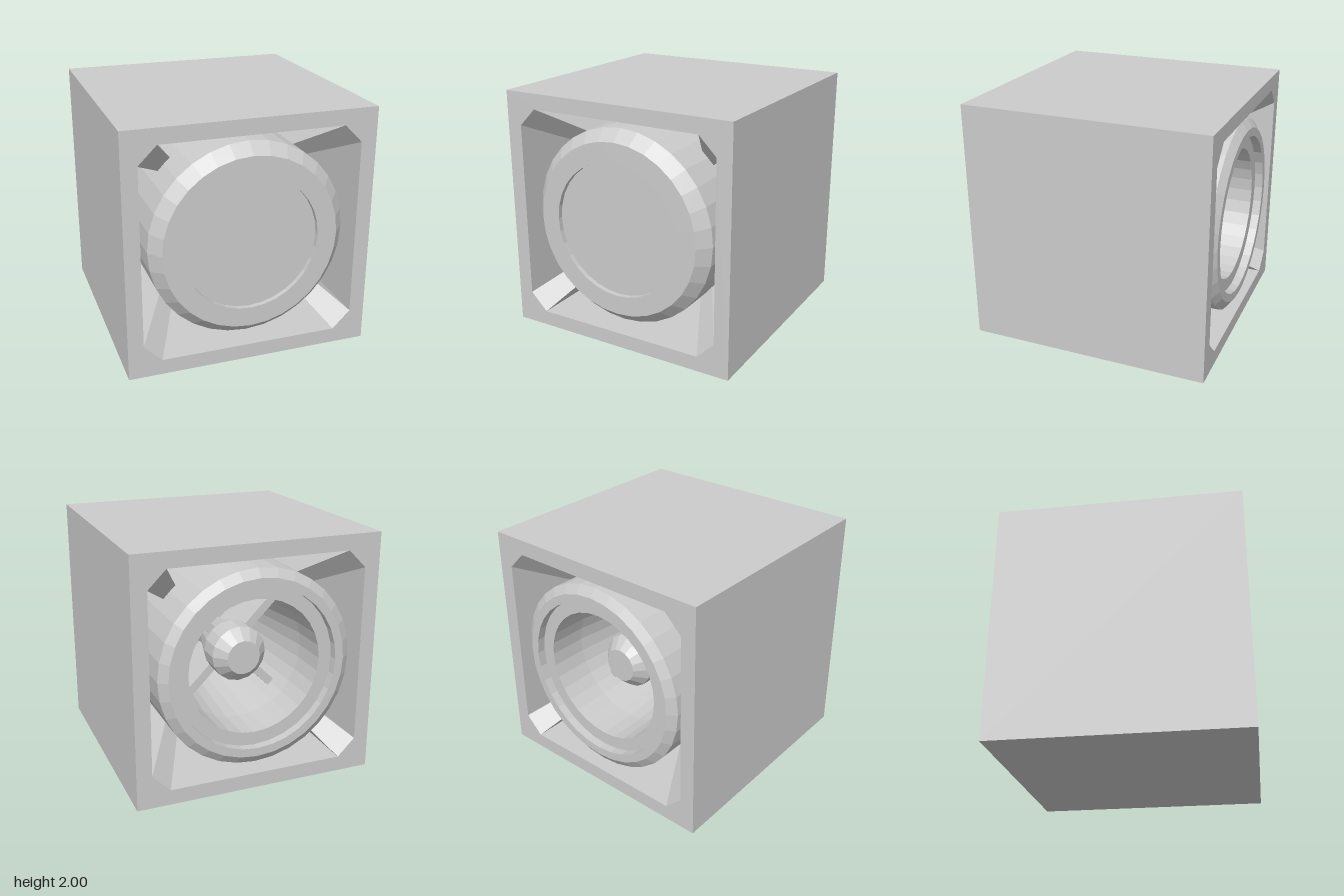
import * as THREE from 'three';

const material = new THREE.MeshStandardMaterial({ color: 0xcccccc, flatShading: true });

function addMesh(parent, name, geometry) {
  const mesh = new THREE.Mesh(geometry, material);
  mesh.name = name;
  parent.add(mesh);
  return mesh;
}

// Turned part with its axis along z; profile points are [radius, z]
function turned(profile, sides) {
  const points = profile.map(([r, z]) => new THREE.Vector2(r, z));
  return new THREE.LatheGeometry(points, sides).rotateX(Math.PI / 2);
}

// Cube shell, open front and back, with cut corners in the opening
function frameGeometry() {
  const shape = new THREE.Shape([[-1, -1], [1, -1], [1, 1], [-1, 1]].map(p => new THREE.Vector2(...p)));
  const a = 0.875, b = 0.73;
  const hole = [[a, -b], [b, -a], [-b, -a], [-a, -b], [-a, b], [-b, a], [b, a], [a, b]];
  shape.holes.push(new THREE.Path(hole.map(p => new THREE.Vector2(...p))));
  return new THREE.ExtrudeGeometry(shape, { depth: 2, bevelEnabled: false }).translate(0, 0, -1);
}

// Wedge running from the frame corner in to the drum, narrowing in width and depth
function bracketGeometry() {
  const inner = 0.7, outer = 1.135;
  const geometry = new THREE.BoxGeometry(1, 2, 2);
  const pos = geometry.attributes.position;
  for (let i = 0; i < pos.count; i++) {
    const atFrame = pos.getX(i) > 0;
    pos.setXYZ(i, atFrame ? outer : inner,
      pos.getY(i) * (atFrame ? 0.103 : 0.061),
      pos.getZ(i) * (atFrame ? 1 : 0.42));
  }
  geometry.computeVertexNormals();
  return geometry;
}

export function createModel() {
  const model = new THREE.Group();
  model.name = 'thrusterBlock';
  const body = new THREE.Group();
  body.name = 'body';
  body.position.y = 1;
  model.add(body);

  addMesh(body, 'frame', frameGeometry());

  // Drum: nozzle bore, stepped rear rim, outer wall, chamfered front cap
  addMesh(body, 'drum', turned([
    [0, 0.2], [0.47, 0.2], [0.55, -0.6], [0.55, -0.92], [0.66, -0.92], [0.66, -0.99],
    [0.73, -0.99], [0.8, -0.94], [0.8, 0.89], [0.71, 0.99], [0.55, 0.99], [0.55, 0.95], [0, 0.95],
  ], 32));

  // Hub inside the nozzle
  addMesh(body, 'hub', turned([
    [0, -0.7], [0.14, -0.7], [0.23, -0.6], [0.23, -0.42], [0.14, -0.1], [0.14, 0.2],
  ], 16));

  // Four corner brackets and four nozzle vanes on the diagonals
  const bracket = bracketGeometry();
  const vane = new THREE.BoxGeometry(0.42, 0.07, 0.4).translate(0.33, 0, -0.22);
  for (let i = 0; i < 4; i++) {
    const angle = Math.PI / 4 + i * Math.PI / 2;
    addMesh(body, 'cornerBracket', bracket).rotation.z = angle;
    addMesh(body, 'nozzleVane', vane).rotation.z = angle;
  }
  return model;
}
